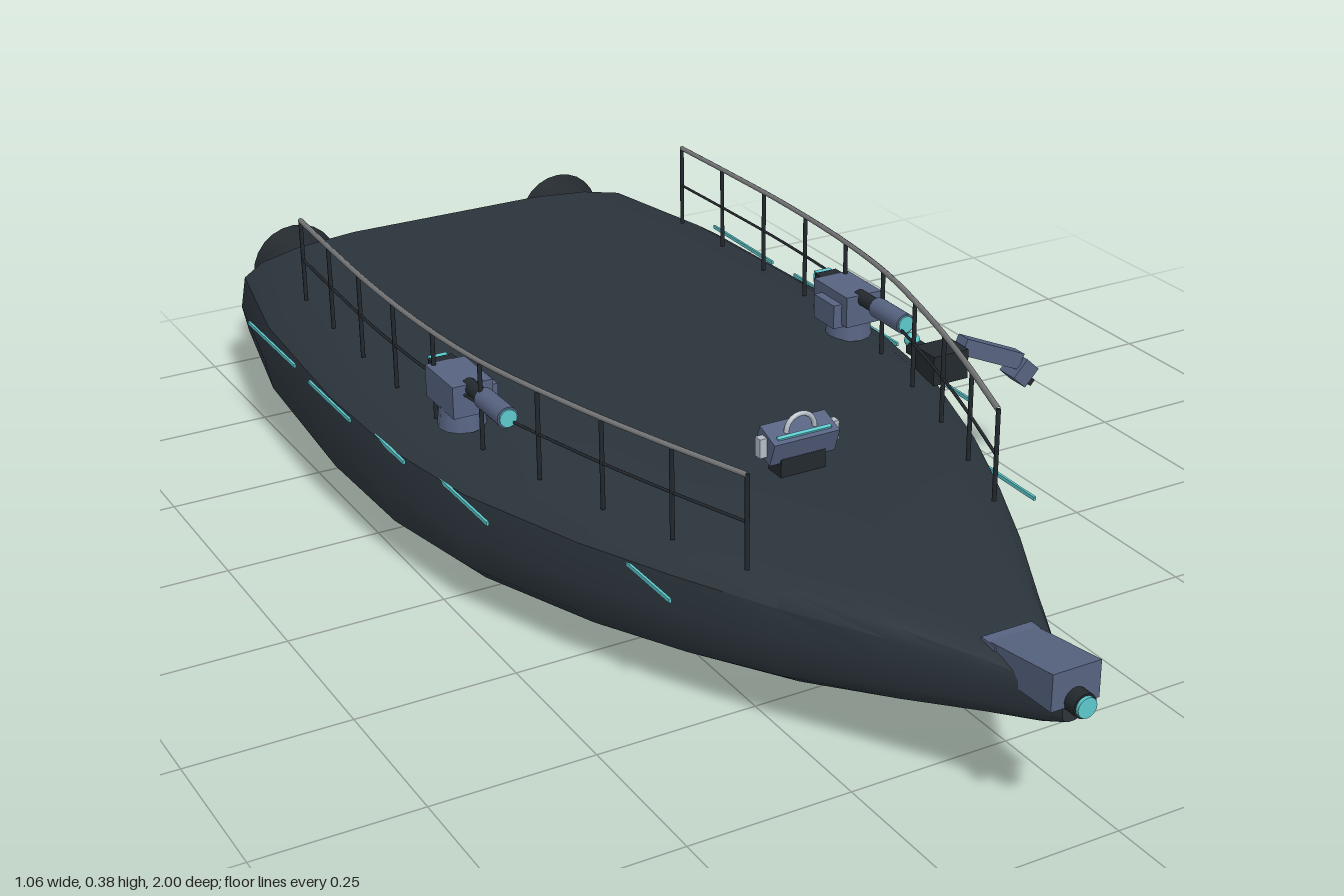
import * as THREE from 'three';
import { toCreasedNormals } from 'three/addons/utils/BufferGeometryUtils.js';

const mat = (name, color, side = THREE.FrontSide) => {
  const m = new THREE.MeshStandardMaterial({ color, side });
  m.name = name;
  return m;
};

export function createModel() {
  const hullMat = mat('hull charcoal', 0x2b343b);
  const darkMat = mat('dark metal', 0x23292e, THREE.DoubleSide);
  const metalMat = mat('blue grey metal', 0x566280);
  const glowMat = mat('teal light', 0x5cc8cc, THREE.DoubleSide);
  const railMat = mat('rail grey', 0x77787a);
  const paleMat = mat('pale grey', 0xb4bcc6);

  const model = new THREE.Group();
  const boat = new THREE.Group();
  boat.name = 'boat';
  boat.position.x = -0.065; // the crane on the left side shifts the hull off centre
  model.add(boat);

  const add = (parent, name, geo, material, pos = [0, 0, 0], rot = [0, 0, 0]) => {
    const mesh = new THREE.Mesh(geo, material);
    mesh.name = name;
    mesh.position.set(...pos);
    mesh.rotation.set(...rot);
    parent.add(mesh);
    return mesh;
  };
  const box = (w, h, d) => new THREE.BoxGeometry(w, h, d);
  const tubeZ = (r1, r2, len, n = 16, open = false) =>
    new THREE.CylinderGeometry(r1, r2, len, n, 1, open).rotateX(Math.PI / 2);

  // Hull: one rounded half section scaled along the stations
  const half = [[0, 1], [0.45, 1], [0.71, 0.96], [0.89, 0.885], [0.975, 0.78], [1, 0.52],
    [0.975, 0.28], [0.91, 0.17], [0.78, 0.08], [0.58, 0.03], [0.3, 0.006], [0, 0]];
  const ring = half.concat(half.slice(1, -1).reverse().map(([x, y]) => [-x, y]));
  const stations = [ // z, half width, keel, deck
    [-0.925, 0.4, 0.03, 0.237], [-0.69, 0.447, 0.015, 0.243], [-0.37, 0.465, 0.004, 0.245],
    [-0.15, 0.457, 0, 0.245], [0.05, 0.425, 0.008, 0.245], [0.27, 0.35, 0.022, 0.244],
    [0.43, 0.28, 0.038, 0.243], [0.58, 0.207, 0.06, 0.24], [0.73, 0.125, 0.095, 0.236],
    [0.85, 0.062, 0.128, 0.228], [0.93, 0.028, 0.152, 0.222], [0.97, 0.016, 0.17, 0.216]];
  const verts = [], index = [], n = ring.length;
  for (const [z, w, lo, hi] of stations)
    for (const [x, y] of ring) verts.push(x * w, lo + y * (hi - lo), z);
  const last = (stations.length - 1) * n;
  for (let j = 0; j < n; j++) {
    const k = (j + 1) % n;
    for (let i = 0; i < last; i += n)
      index.push(i + j, i + n + j, i + k, i + k, i + n + j, i + n + k);
    if (j > 0 && k > 0) index.push(0, j, k, last, last + k, last + j);
  }
  const hullGeo = new THREE.BufferGeometry();
  hullGeo.setAttribute('position', new THREE.Float32BufferAttribute(verts, 3));
  hullGeo.setIndex(index);
  add(boat, 'hull', toCreasedNormals(hullGeo, 0.6), hullMat);

  // Bow housing with a forward lamp
  const bow = new THREE.Group();
  bow.name = 'bowHousing';
  boat.add(bow);
  const bowGeo = box(0.076, 0.055, 0.14);
  const bp = bowGeo.attributes.position;
  for (let i = 0; i < bp.count; i++) // slimmer toward the stern end
    if (bp.getZ(i) < 0) bp.setY(i, bp.getY(i) * 0.7 - 0.012);
  bowGeo.computeVertexNormals();
  add(bow, 'bowBlock', bowGeo, metalMat, [0, 0.224, 0.905]);
  add(bow, 'bowFoot', box(0.08, 0.02, 0.03), metalMat, [0, 0.222, 0.84]);
  add(bow, 'lampBarrel', tubeZ(0.018, 0.018, 0.05), darkMat, [0, 0.205, 0.97]);
  add(bow, 'bowLamp', tubeZ(0.015, 0.015, 0.005), glowMat, [0, 0.205, 0.9975]);

  // Sensor unit on the fore deck
  const sensor = new THREE.Group();
  sensor.name = 'foreSensor';
  sensor.position.set(0, 0.24, 0.305);
  boat.add(sensor);
  add(sensor, 'sensorBase', box(0.075, 0.035, 0.035), darkMat, [0, 0.015, 0]);
  add(sensor, 'sensorBody', box(0.11, 0.04, 0.045), metalMat, [0, 0.052, 0], [0.35, 0, 0]);
  add(sensor, 'sensorStrip', box(0.09, 0.006, 0.006), glowMat, [0, 0.067, 0.018], [0.35, 0, 0]);
  add(sensor, 'sensorHoop', new THREE.TorusGeometry(0.024, 0.004, 8, 20), paleMat, [0, 0.07, 0.008]);
  for (const s of [-1, 1])
    add(sensor, 'sensorPivot', box(0.014, 0.03, 0.014), paleMat, [s * 0.06, 0.052, 0]);

  // Parts repeated on both sides
  const strips = [[0.305, 0.34, 0.475], [0.422, -0.02, 0.145], [0.445, -0.21, -0.1],
    [0.458, -0.45, -0.28], [0.455, -0.73, -0.52]];
  const railX = [[0.205, 0.51], [0.26, 0.35], [0.305, 0.2], [0.352, 0], [0.37, -0.16],
    [0.376, -0.35], [0.372, -0.52], [0.365, -0.69]];

  for (const s of [-1, 1]) {
    const side = s > 0 ? 'left' : 'right';

    // Railing with ten posts
    const rail = new THREE.Group();
    rail.name = side + 'Railing';
    boat.add(rail);
    const curve = y => new THREE.CatmullRomCurve3(railX.map(([x, z]) => new THREE.Vector3(s * x, y, z)));
    const top = curve(0.371);
    add(rail, 'topRail', new THREE.TubeGeometry(top, 36, 0.0045, 6), railMat);
    add(rail, 'middleRail', new THREE.TubeGeometry(curve(0.3), 36, 0.0025, 6), darkMat);
    for (let i = 0; i < 10; i++) {
      const p = top.getPointAt(i / 9);
      add(rail, 'railPost', new THREE.CylinderGeometry(0.0035, 0.0035, 0.145, 6), darkMat, [p.x, 0.3, p.z]);
    }

    // Glowing strips along the hull
    for (const [x, z0, z1] of strips)
      add(boat, side + 'HullStrip', box(0.004, 0.006, z1 - z0), glowMat, [s * x, 0.19, (z0 + z1) / 2]);

    // Deck turret with a barrel and lamps
    const turret = new THREE.Group();
    turret.name = side + 'Turret';
    turret.position.set(s * 0.347, 0.235, -0.1);
    boat.add(turret);
    add(turret, 'turretBase', new THREE.CylinderGeometry(0.034, 0.038, 0.035, 12), metalMat, [0, 0.015, 0]);
    add(turret, 'turretBody', box(0.066, 0.052, 0.1), metalMat, [0, 0.055, -0.005]);
    add(turret, 'turretCheek', box(0.02, 0.04, 0.06), metalMat, [s * -0.038, 0.045, 0]);
    add(turret, 'barrelNeck', tubeZ(0.012, 0.012, 0.06), darkMat, [0, 0.073, 0.06]);
    add(turret, 'barrel', tubeZ(0.017, 0.017, 0.08), metalMat, [0, 0.073, 0.125]);
    add(turret, 'barrelLamp', tubeZ(0.014, 0.014, 0.004), glowMat, [0, 0.073, 0.166]);
    add(turret, 'rearLamp', box(0.03, 0.02, 0.014), glowMat, [0, 0.07, -0.078]);
    add(turret, 'rearBracket', box(0.04, 0.026, 0.02), darkMat, [0, 0.068, -0.063]);

    // Stern thruster: open flared nozzle with a glowing disc inside
    const nozzle = new THREE.Group();
    nozzle.name = side + 'Thruster';
    nozzle.position.set(s * 0.267, 0.162, 0);
    boat.add(nozzle);
    const profile = [[0.05, -0.9], [0.056, -0.925], [0.08, -1], [0.07, -1], [0.05, -0.945]]
      .map(([r, z]) => new THREE.Vector2(r, -z));
    add(nozzle, 'nozzle', toCreasedNormals(new THREE.LatheGeometry(profile, 24).rotateX(-Math.PI / 2), 0.5), darkMat);
    add(nozzle, 'nozzleGlow', new THREE.CircleGeometry(0.053, 24), glowMat, [0, 0, -0.948], [0, Math.PI, 0]);
  }

  // Folding crane over the left side
  const crane = new THREE.Group();
  crane.name = 'crane';
  crane.position.set(0.35, 0.23, 0.07);
  model.add(crane);
  add(crane, 'craneBase', box(0.066, 0.05, 0.055), darkMat);
  add(crane, 'craneArm', box(0.125, 0.028, 0.026), metalMat, [0.093, -0.003, 0], [0, 0, -0.42]);
  add(crane, 'craneHead', box(0.032, 0.038, 0.04), metalMat, [0.156, -0.048, 0], [0, 0, -0.75]);
  for (const z of [-0.012, 0.012])
    add(crane, 'craneFinger', box(0.03, 0.012, 0.008), darkMat, [0.162, -0.06, z], [0, 0, -0.75]);
  add(crane, 'craneLampMount', box(0.022, 0.02, 0.04), darkMat, [-0.02, 0.012, -0.035]);
  add(crane, 'craneLamp', new THREE.SphereGeometry(0.013, 12, 8), glowMat, [-0.02, 0.022, -0.055]);

  return model;
}
